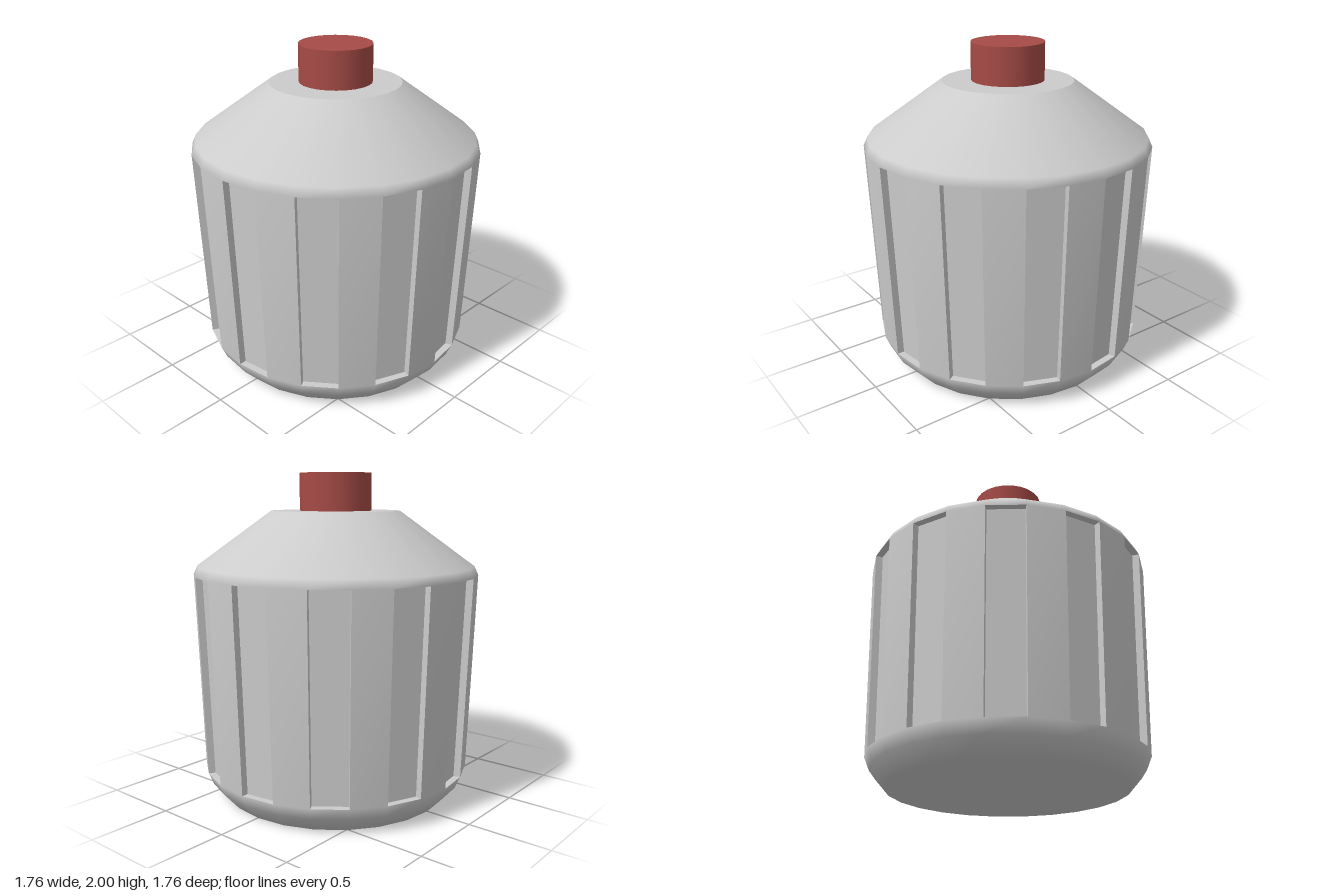
import * as THREE from 'three';

const SIDES = 24;
const INSET = 0.042; // depth of the grip recesses

// Outer profile [radius, height], bottom to top
const PROFILE = [[0.715, 0], [0.804, 0.1], [0.836, 0.175], [0.878, 1.39], [0.854, 1.443], [0.398, 1.773]];
const GRIP = 2; // profile segment that carries the recesses

const grey = new THREE.MeshStandardMaterial({ color: 0xcccccc });
const red = new THREE.MeshStandardMaterial({ color: 0xa64b46 });

function point(radius, y, k) {
  const a = (k / SIDES) * Math.PI * 2;
  return [radius * Math.sin(a), y, radius * Math.cos(a)];
}

// Smooth faceted shell, left open where the recesses sit
function shellGeometry() {
  const positions = [];
  const index = [];
  for (const [r, y] of PROFILE) {
    for (let k = 0; k < SIDES; k++) positions.push(...point(r, y, k));
  }
  const centre = positions.length / 3;
  positions.push(0, 0, 0);
  for (let k = 0; k < SIDES; k++) {
    const n = (k + 1) % SIDES;
    index.push(centre, n, k); // underside
    for (let i = 0; i < PROFILE.length - 1; i++) {
      if (i === GRIP && k % 2 === 0) continue;
      const a = i * SIDES + k, b = i * SIDES + n;
      index.push(a, b, b + SIDES, a, b + SIDES, a + SIDES);
    }
  }
  const g = new THREE.BufferGeometry();
  g.setAttribute('position', new THREE.Float32BufferAttribute(positions, 3));
  g.setIndex(index);
  g.computeVertexNormals();
  return g;
}

// One recess: a floor and four walls, flat shaded
function recessGeometry(k) {
  const [r0, y0] = PROFILE[GRIP];
  const [r1, y1] = PROFILE[GRIP + 1];
  const corners = (d) => [
    point(r0 - d, y0, k), point(r0 - d, y0, k + 1),
    point(r1 - d, y1, k + 1), point(r1 - d, y1, k),
  ];
  const outer = corners(0), inner = corners(INSET);
  const positions = [];
  const quad = (a, b, c, d) => positions.push(...a, ...b, ...c, ...a, ...c, ...d);
  quad(...inner);
  for (let i = 0; i < 4; i++) {
    const j = (i + 1) % 4;
    quad(outer[i], outer[j], inner[j], inner[i]);
  }
  const g = new THREE.BufferGeometry();
  g.setAttribute('position', new THREE.Float32BufferAttribute(positions, 3));
  g.computeVertexNormals();
  return g;
}

export function createModel() {
  const model = new THREE.Group();
  model.name = 'cappedContainer';
  const add = (name, geometry, material, parent = model) => {
    const mesh = new THREE.Mesh(geometry, material);
    mesh.name = name;
    parent.add(mesh);
    return mesh;
  };

  add('bodyShell', shellGeometry(), grey);

  // Recesses on every other side
  const recesses = new THREE.Group();
  recesses.name = 'gripRecesses';
  model.add(recesses);
  for (let k = 0; k < SIDES; k += 2) add('gripRecess', recessGeometry(k), grey, recesses);

  // Flat top of the body
  const [topRadius, topY] = PROFILE[PROFILE.length - 1];
  const top = add('topPlate', new THREE.CircleGeometry(topRadius, SIDES), grey);
  top.rotation.x = -Math.PI / 2;
  top.position.y = topY;

  // Cap
  const cap = add('cap', new THREE.CylinderGeometry(0.221, 0.221, 2 - topY, SIDES), red);
  cap.position.y = (2 + topY) / 2;

  return model;
}
